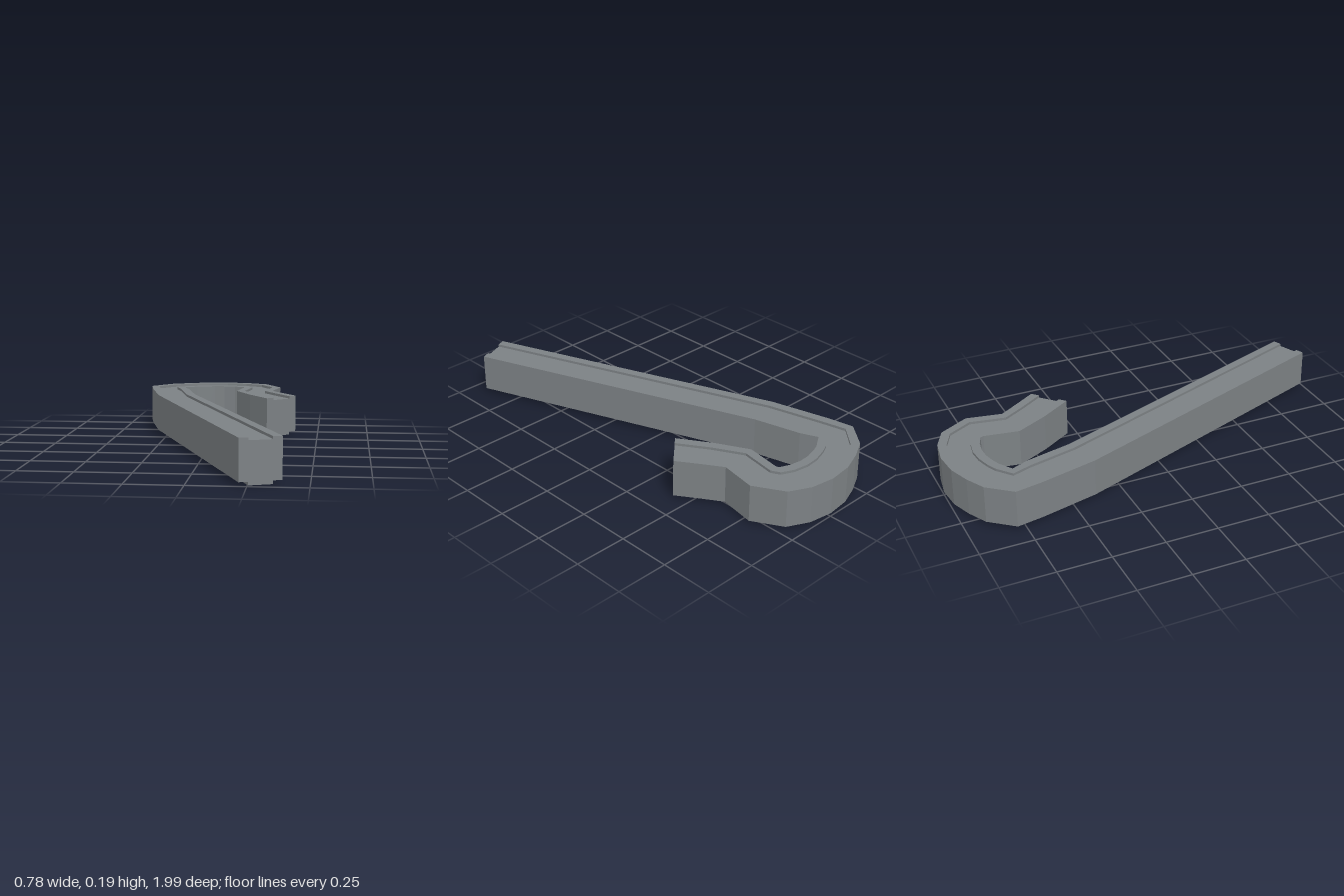
import * as THREE from 'three';

// Stations along the hook: outer edge x, z then inner edge x, z
const stations = [
  [0.216, 0.99, 0.388, 0.92],
  [-0.304, -0.386, -0.125, -0.438],
  [-0.372, -0.66, -0.18, -0.66],
  [-0.396, -0.79, -0.214, -0.74],
  [-0.304, -0.903, -0.15, -0.782],
  [-0.214, -0.951, -0.115, -0.796],
  [-0.114, -0.988, -0.06, -0.81],
  [0, -1, -0.008, -0.813],
  [0.114, -0.982, 0.05, -0.803],
  [0.214, -0.932, 0.098, -0.782],
  [0.293, -0.792, 0.103, -0.768],
  [0.262, -0.623, 0.077, -0.602],
  [0.318, -0.535, 0.156, -0.449],
  [0.388, -0.43, 0.251, -0.301],
];

// Cross-section: u runs from outer (0) to inner (1) edge, then height;
// a tongue below and a matching groove on top
const profile = [
  [0, 0.015], [0.22, 0.015], [0.22, 0], [0.78, 0], [0.78, 0.015], [1, 0.015],
  [1, 0.194], [0.78, 0.194], [0.78, 0.182], [0.22, 0.182], [0.22, 0.194], [0, 0.194],
];

function sweep() {
  const rings = stations.map(([ox, oz, ix, iz]) =>
    profile.map(([u, y]) => [ox + (ix - ox) * u, y, oz + (iz - oz) * u]));
  const pos = [];
  const tri = (a, b, c) => pos.push(...a, ...b, ...c);
  const n = profile.length;
  for (let i = 0; i < rings.length - 1; i++) {
    for (let j = 0; j < n; j++) {
      const k = (j + 1) % n;
      const a = rings[i][j], b = rings[i][k], c = rings[i + 1][k], d = rings[i + 1][j];
      tri(a, d, c);
      tri(a, c, b);
    }
  }
  // End caps
  const outline = profile.map(([u, y]) => new THREE.Vector2(u, y));
  const first = rings[0], last = rings[rings.length - 1];
  for (const [a, b, c] of THREE.ShapeUtils.triangulateShape(outline, [])) {
    tri(first[a], first[b], first[c]);
    tri(last[a], last[c], last[b]);
  }
  const geometry = new THREE.BufferGeometry();
  geometry.setAttribute('position', new THREE.Float32BufferAttribute(pos, 3));
  geometry.computeVertexNormals();
  return geometry;
}

export function createModel() {
  const group = new THREE.Group();
  group.name = 'hookedRail';
  const slate = new THREE.MeshStandardMaterial({ color: 0x7c8184 });
  slate.name = 'slate grey';
  const rail = new THREE.Mesh(sweep(), slate);
  rail.name = 'groovedHook';
  group.add(rail);
  return group;
}
